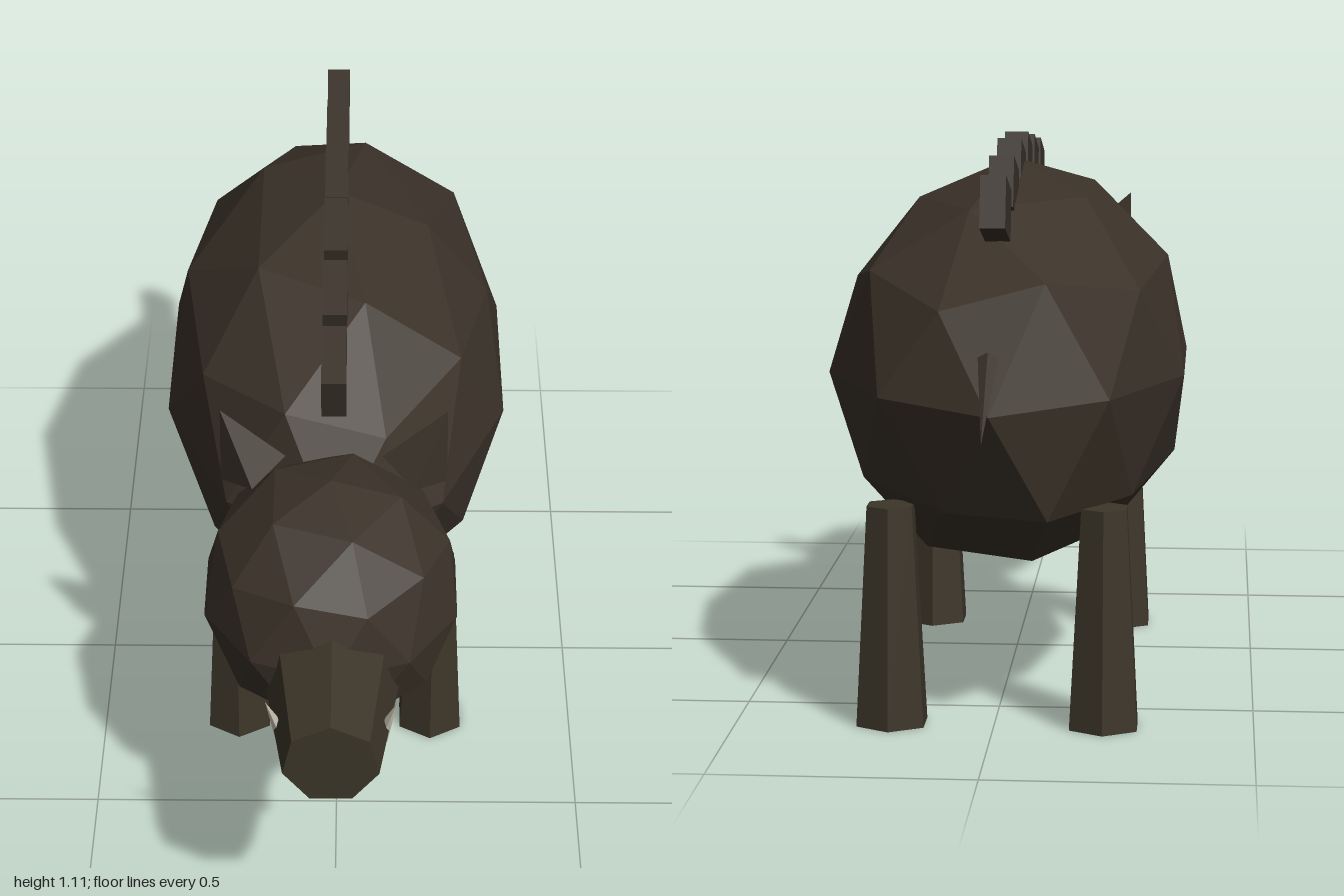
import * as THREE from 'three';

const mat = (name, color) => {
  const m = new THREE.MeshStandardMaterial({ color, flatShading: true });
  m.name = name;
  return m;
};

export function createModel() {
  const root = new THREE.Group();
  root.name = 'boar';
  const hide = mat('dark brown hide', 0x3b3229);
  const limb = mat('olive brown limbs', 0x3c3529);
  const bristle = mat('bristle brown', 0x3a322a);
  const ivory = mat('ivory', 0xd8d2c0);
  const cx = -0.006; // centre line of the animal

  const add = (name, geo, material, x, y, z) => {
    const mesh = new THREE.Mesh(geo, material);
    mesh.name = name;
    mesh.position.set(x, y, z);
    root.add(mesh);
    return mesh;
  };

  // Faceted ellipsoid with a corner at top and bottom and a rim corner at each end;
  // each bump shifts the vertex lying in a given direction
  const lump = (rx, ry, rz, bumps = []) => {
    const geo = new THREE.IcosahedronGeometry(1, 1);
    geo.rotateX(-Math.atan((1 + Math.sqrt(5)) / 2)).rotateY(Math.PI / 2);
    const p = geo.attributes.position;
    const v = new THREE.Vector3(), d = new THREE.Vector3();
    for (let i = 0; i < p.count; i++) {
      v.fromBufferAttribute(p, i);
      const hit = bumps.find(([dir]) => d.fromArray(dir).distanceTo(v) < 0.05);
      v.multiply(d.set(rx, ry, rz));
      if (hit) v.add(d.fromArray(hit[1]));
      p.setXYZ(i, v.x, v.y, v.z);
    }
    geo.computeVertexNormals();
    return geo;
  };

  // Cone running from the centre of its base to its tip
  const spike = (name, material, r, sides, base, tip) => {
    const a = new THREE.Vector3(...base), b = new THREE.Vector3(...tip);
    const dir = b.clone().sub(a), mid = a.clone().add(b).multiplyScalar(0.5);
    const mesh = add(name, new THREE.ConeGeometry(r, dir.length(), sides), material, mid.x, mid.y, mid.z);
    mesh.quaternion.setFromUnitVectors(new THREE.Vector3(0, 1, 0), dir.normalize());
  };

  // Body, slightly uneven
  add('body', lump(0.37, 0.413, 0.645, [
    [[0.894, 0.447, 0], [-0.012, -0.015, 0]],
    [[0.526, 0.851, 0], [-0.004, -0.02, 0]],
    [[0.163, 0.851, 0.5], [0, -0.015, -0.02]],
    [[0.163, 0.851, -0.5], [0, -0.015, -0.01]],
    [[0.276, 0.447, 0.851], [0, -0.02, -0.02]],
    [[0.276, 0.447, -0.851], [0, -0.02, 0.02]],
    [[-0.276, -0.447, 0.851], [0, -0.04, -0.02]],
    [[-0.276, -0.447, -0.851], [0, -0.045, 0.01]],
    [[0, 0, -1], [0, -0.015, 0]],
  ]), hide, cx, 0.651, -0.2);

  // Head
  add('head', lump(0.257, 0.26, 0.28), hide, cx - 0.004, 0.61, 0.54);

  // Seven-sided tapered snout, one corner upward
  const snoutGeo = new THREE.CylinderGeometry(0.092, 0.138, 0.3, 7);
  snoutGeo.rotateY(Math.PI).rotateX(Math.PI / 2);
  add('snout', snoutGeo, limb, cx, 0.562, 0.85);

  for (const s of [1, -1]) {
    const side = s > 0 ? 'left' : 'right';
    // Ears and tusks
    spike(side + 'Ear', hide, 0.07, 4, [cx + s * 0.158, 0.803, 0.41], [cx + s * 0.22, 0.94, 0.41]);
    spike(side + 'Tusk', ivory, 0.017, 5, [cx + s * 0.09, 0.5, 0.855], [cx + s * 0.122, 0.637, 0.912]);
    // Six-sided legs, wider at the foot
    for (const [end, z] of [['Front', 0.228], ['Back', -0.628]]) {
      add(side + end + 'Leg', new THREE.CylinderGeometry(0.05, 0.075, 0.43, 6), limb, cx + s * 0.205, 0.215, z);
    }
  }

  // Row of tilted bristle blocks along the back
  [1.001, 1.022, 1.041, 1.041, 1.022, 1.001].forEach((y, i) => {
    const block = add('bristle' + (i + 1), new THREE.BoxGeometry(0.048, 0.1, 0.143), bristle, cx, y, 0.364 - i * 0.2045);
    block.rotation.x = 0.28;
  });

  // Tail
  spike('tail', bristle, 0.02, 5, [cx, 0.742, -0.835], [cx, 0.613, -1]);

  return root;
}
